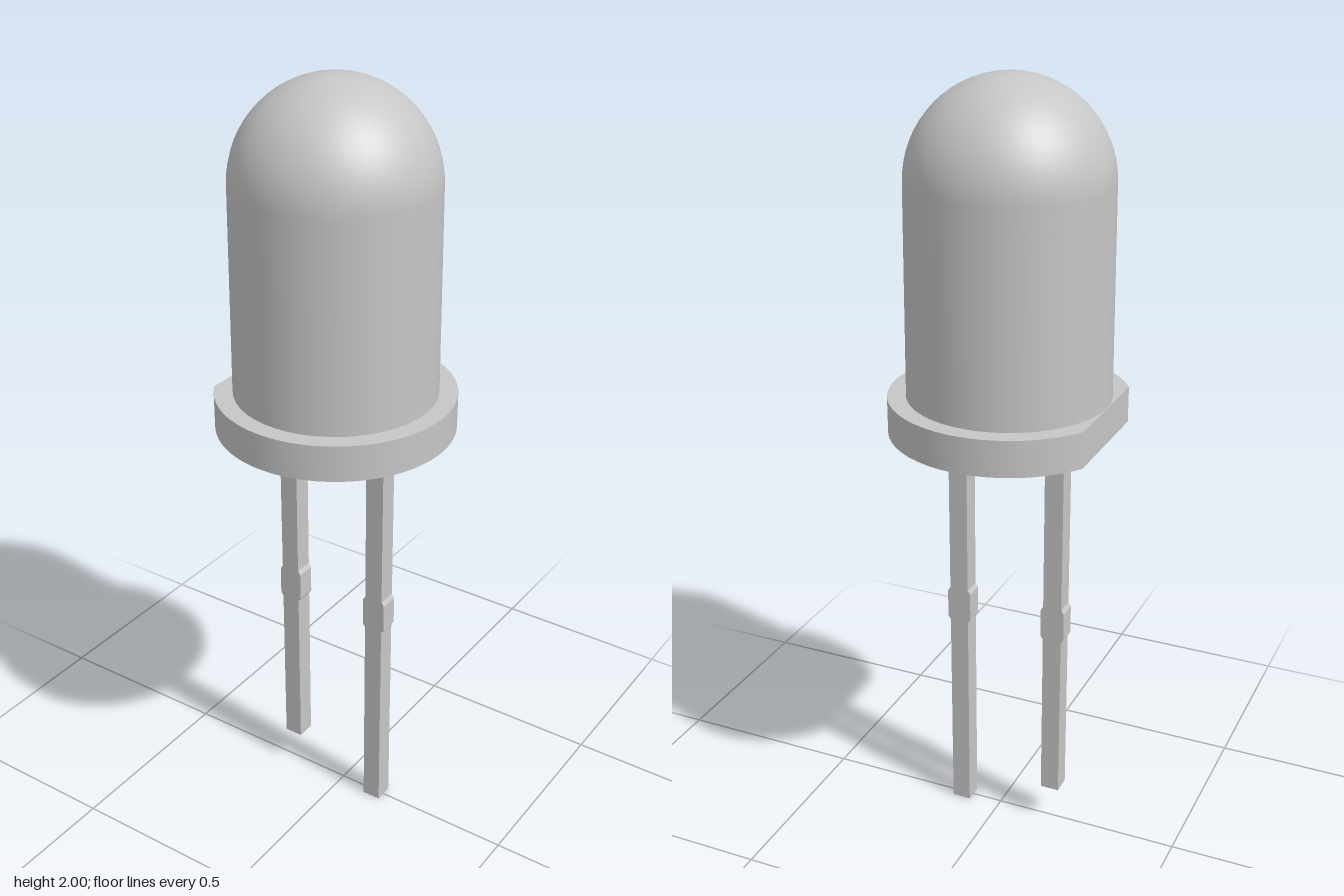
import * as THREE from 'three';
import { toCreasedNormals } from 'three/addons/utils/BufferGeometryUtils.js';

const AXIS = -0.023; // x of the bulb's axis

export function createModel() {
  const grey = new THREE.MeshStandardMaterial({ color: 0xc6c6c6 });
  grey.name = 'grey';
  const model = new THREE.Group();
  model.name = 'lightEmittingDiode';

  const add = (name, geometry, x, y) => {
    const mesh = new THREE.Mesh(geometry, grey);
    mesh.name = name;
    mesh.position.set(x, y, 0);
    model.add(mesh);
  };

  // Lens: slightly tapered barrel with a hemispherical dome
  const profile = [new THREE.Vector2(0.254, 1.2)];
  const steps = 16;
  for (let i = 0; i <= steps; i++) {
    const a = (i / steps) * Math.PI / 2;
    profile.push(new THREE.Vector2(i === steps ? 0 : 0.25 * Math.cos(a), 1.75 + 0.25 * Math.sin(a)));
  }
  add('lens', new THREE.LatheGeometry(profile, 48), AXIS, 0);

  // Rim: disc with one flat side towards -x
  const cut = Math.PI - Math.acos(0.255 / 0.3);
  const rim = new THREE.Shape();
  rim.absarc(0, 0, 0.3, -cut, cut, false);
  rim.closePath();
  const rimGeometry = new THREE.ExtrudeGeometry(rim, { depth: 0.093, bevelEnabled: false, curveSegments: 36 });
  rimGeometry.rotateX(-Math.PI / 2);
  add('rim', toCreasedNormals(rimGeometry, 0.5), AXIS, 1.132);

  // Leads: square wires of unequal length, each with a wider stop
  const h = 0.025, w = 0.032;
  const lead = (name, x, bottom) => {
    const half = [[h, bottom], [h, 0.565], [w, 0.575], [w, 0.65], [h, 0.662], [h, 1.14]];
    const outline = [...half, ...half.map(([px, py]) => [-px, py]).reverse()];
    const shape = new THREE.Shape(outline.map(([px, py]) => new THREE.Vector2(px, py)));
    const geometry = new THREE.ExtrudeGeometry(shape, { depth: 2 * h, bevelEnabled: false });
    geometry.translate(0, 0, -h);
    add(name, geometry, x, 0);
  };
  lead('longLead', AXIS + 0.132, 0);
  lead('shortLead', AXIS - 0.132, 0.105);

  return model;
}
